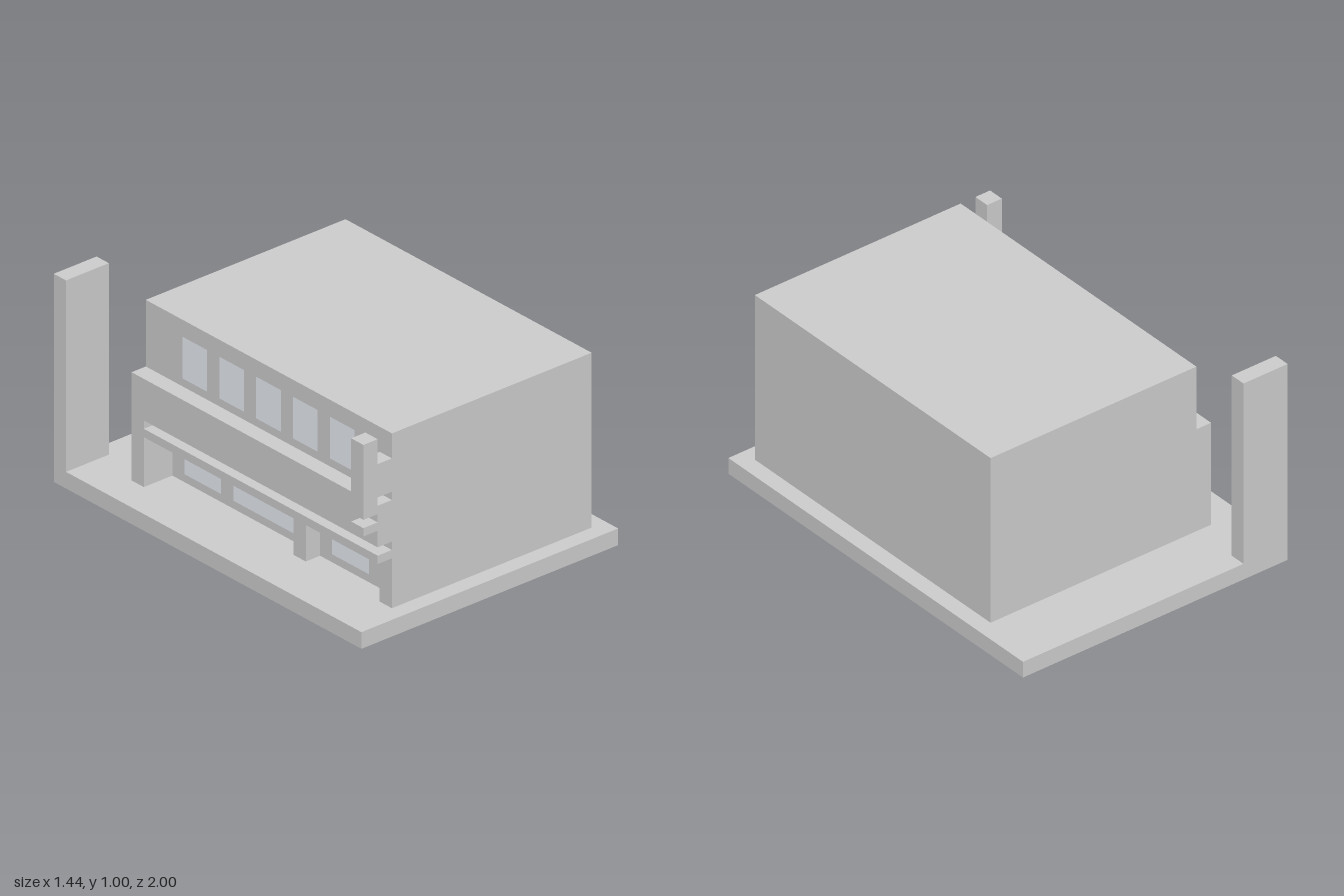
import * as THREE from 'three';

const wallMat = new THREE.MeshStandardMaterial({ color: 0xcccccc, flatShading: true });
const glassMat = new THREE.MeshStandardMaterial({ color: 0xe6ecf2, flatShading: true });

// Box given by its extents on each axis.
function block(parent, name, [x0, x1], [y0, y1], [z0, z1], mat = wallMat) {
  const mesh = new THREE.Mesh(new THREE.BoxGeometry(x1 - x0, y1 - y0, z1 - z0), mat);
  mesh.position.set((x0 + x1) / 2, (y0 + y1) / 2, (z0 + z1) / 2);
  mesh.name = name;
  parent.add(mesh);
  return mesh;
}

// Flat pane just proud of a wall facing -x.
function pane(parent, name, x, [y0, y1], [z0, z1]) {
  const mesh = new THREE.Mesh(new THREE.PlaneGeometry(z1 - z0, y1 - y0), glassMat);
  mesh.rotation.y = -Math.PI / 2;
  mesh.position.set(x - 0.002, (y0 + y1) / 2, (z0 + z1) / 2);
  mesh.name = name;
  parent.add(mesh);
}

export function createModel() {
  const model = new THREE.Group();
  model.name = 'shopBuilding';
  const length = [-0.68, 0.92];

  // Plot and free-standing pylon
  block(model, 'base', [-0.72, 0.72], [0, 0.08], [-1, 1]);
  block(model, 'pylon', [-0.72, -0.48], [0.08, 1], [-1, -0.92]);

  // Main body: ground floor set back, upper floor overhanging it
  const body = new THREE.Group();
  body.name = 'building';
  model.add(body);
  block(body, 'groundFloor', [-0.4, 0.64], [0.08, 0.32], length);
  block(body, 'upperFloor', [-0.48, 0.64], [0.32, 0.92], length);

  // Street facade: band, canopy, end fin
  block(body, 'facadeBand', [-0.56, -0.48], [0.4, 0.6], length);
  block(body, 'canopy', [-0.56, -0.48], [0.32, 0.36], length);
  block(body, 'endFinLower', [-0.56, -0.4], [0.08, 0.32], [-0.68, -0.6]);
  block(body, 'endFinUpper', [-0.56, -0.48], [0.36, 0.4], [-0.68, -0.6]);

  // Columns under the overhang
  for (const z of [0.28, 0.84]) {
    block(body, 'column', [-0.48, -0.4], [0.08, 0.32], [z, z + 0.08]);
  }

  // Row of upper windows and the shop windows below
  for (let i = 0; i < 5; i++) {
    const z = -0.44 + i * 0.24;
    pane(body, 'upperWindow', -0.48, [0.64, 0.84], [z, z + 0.16]);
  }
  for (const span of [[-0.52, -0.28], [-0.2, 0.2], [0.44, 0.68]]) {
    pane(body, 'shopWindow', -0.4, [0.12, 0.32], span);
  }

  // Projecting sign with its arm, and a small bracket beneath
  const sign = new THREE.Group();
  sign.name = 'projectingSign';
  model.add(sign);
  block(sign, 'signBoard', [-0.64, -0.56], [0.56, 0.92], [0.84, 0.92]);
  block(sign, 'signArm', [-0.56, -0.48], [0.64, 0.8], [0.84, 0.92]);
  block(sign, 'bracket', [-0.64, -0.56], [0.48, 0.52], [0.84, 0.92]);

  return model;
}
